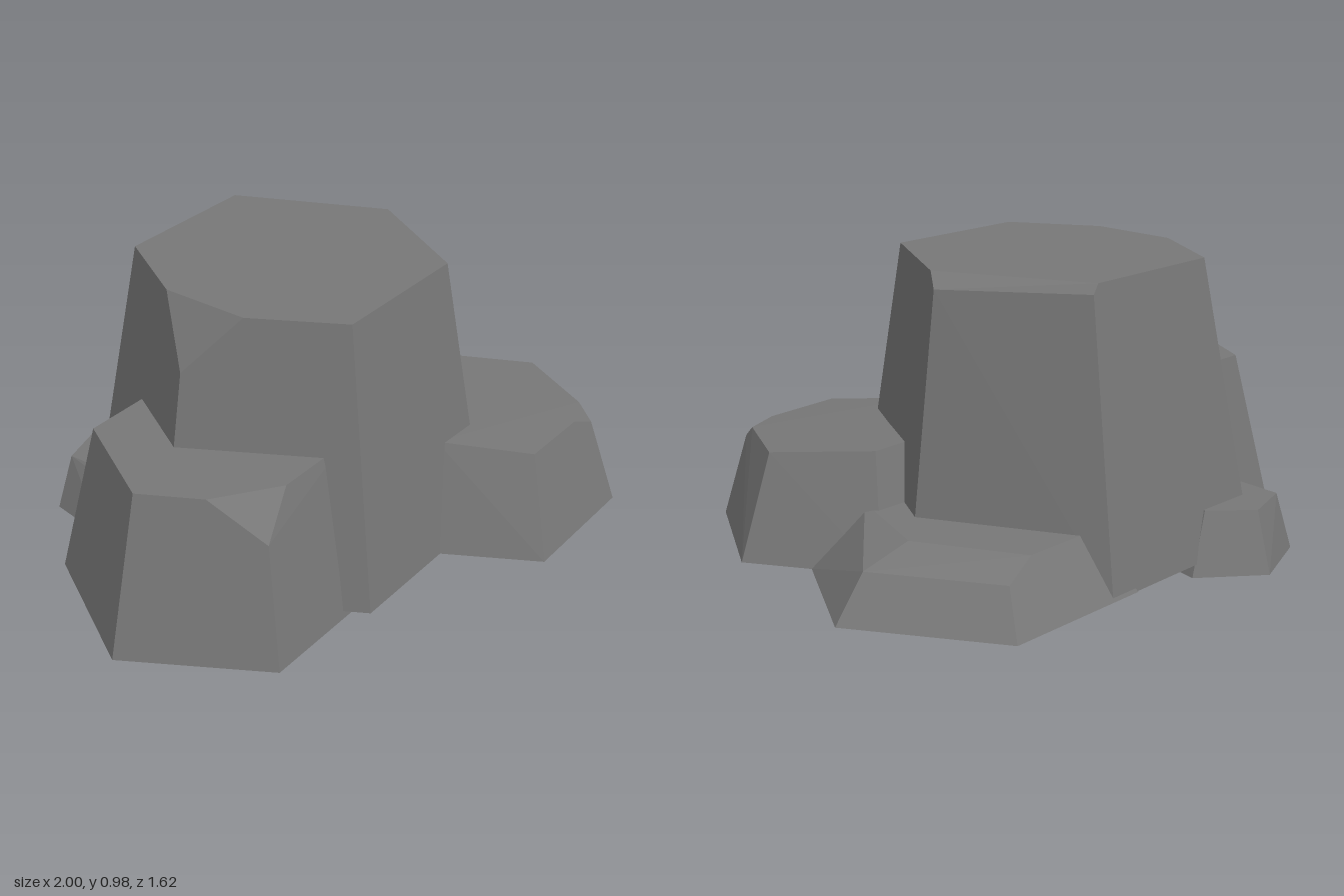
import * as THREE from 'three';
import { ConvexGeometry } from 'three/addons/geometries/ConvexGeometry.js';

const stone = new THREE.MeshStandardMaterial({ color: 0x777777 });
stone.name = 'grey stone';

// A faceted boulder: the hull of a base outline [x, z] at height baseY and upper corners [x, y, z].
function rock(name, baseY, base, upper) {
  const points = [
    ...base.map(([x, z]) => new THREE.Vector3(x, baseY, z)),
    ...upper.map(([x, y, z]) => new THREE.Vector3(x, y, z)),
  ];
  const mesh = new THREE.Mesh(new ConvexGeometry(points), stone);
  mesh.name = name;
  return mesh;
}

export function createModel() {
  const group = new THREE.Group();
  group.name = 'rockCluster';

  // Tall central rock with a chipped left corner and a worn back right rim
  group.add(rock('mainRock', 0.04,
    [[0.6, -0.07], [0.285, 0.51], [-0.37, 0.51], [-0.7, -0.07], [-0.37, -0.65], [0.31, -0.65]],
    [[0.225, 0.975, 0.36], [-0.28, 0.975, 0.36], [-0.44, 0.975, 0.08], [-0.44, 0.975, -0.22],
      [-0.56, 0.79, -0.07], [-0.275, 0.975, -0.5], [0.225, 0.975, -0.5], [0.445, 0.975, -0.02],
      [0.48, 0.93, -0.07], [0.25, 0.945, -0.505]]));

  // Medium rock with a chipped front corner
  group.add(rock('sideRock', 0.015,
    [[-1, 0], [-0.74, 0.44], [-0.22, 0.44], [0.04, 0], [-0.22, -0.455], [-0.74, -0.455]],
    [[-0.865, 0.55, 0], [-0.76, 0.55, 0.19], [-0.69, 0.42, 0.365], [-0.56, 0.55, 0.33],
      [-0.28, 0.55, 0.33], [-0.09, 0.55, 0], [-0.28, 0.55, -0.34], [-0.675, 0.55, -0.34]]));

  // Low front rock with a gently sloping top
  group.add(rock('frontRock', 0.04,
    [[0.19, 0.805], [0.655, 0.805], [0.89, 0.4], [0.655, 0], [0.19, 0], [-0.04, 0.4]],
    [[0.26, 0.38, 0.7], [0.52, 0.375, 0.7], [0.62, 0.33, 0.712], [0.64, 0.375, 0.65],
      [0.77, 0.38, 0.39], [0.58, 0.405, 0.1], [0.29, 0.41, 0.1], [0.1, 0.405, 0.43]]));

  // Flat back rock with a broad bevel
  group.add(rock('backRock', 0.04,
    [[1, -0.19], [0.725, -0.655], [0.2, -0.655], [-0.06, -0.19], [0.2, 0.2], [0.77, 0.2]],
    [[0.89, 0.18, -0.19], [0.67, 0.18, -0.57], [0.55, 0.23, -0.54], [0.72, 0.23, -0.2],
      [0.6, 0.23, 0.135], [0.3, 0.23, 0.13], [0.1, 0.23, -0.19], [0.3, 0.23, -0.54]]));

  // Small pebble at the back
  group.add(rock('pebble', 0,
    [[-0.5, -0.72], [-0.26, -0.81], [-0.07, -0.65], [-0.12, -0.41], [-0.36, -0.32], [-0.54, -0.48]],
    [[-0.45, 0.195, -0.69], [-0.28, 0.195, -0.74], [-0.15, 0.2, -0.63], [-0.18, 0.2, -0.47],
      [-0.35, 0.2, -0.4], [-0.47, 0.17, -0.5], [-0.45, 0.2, -0.52]]));

  return group;
}
